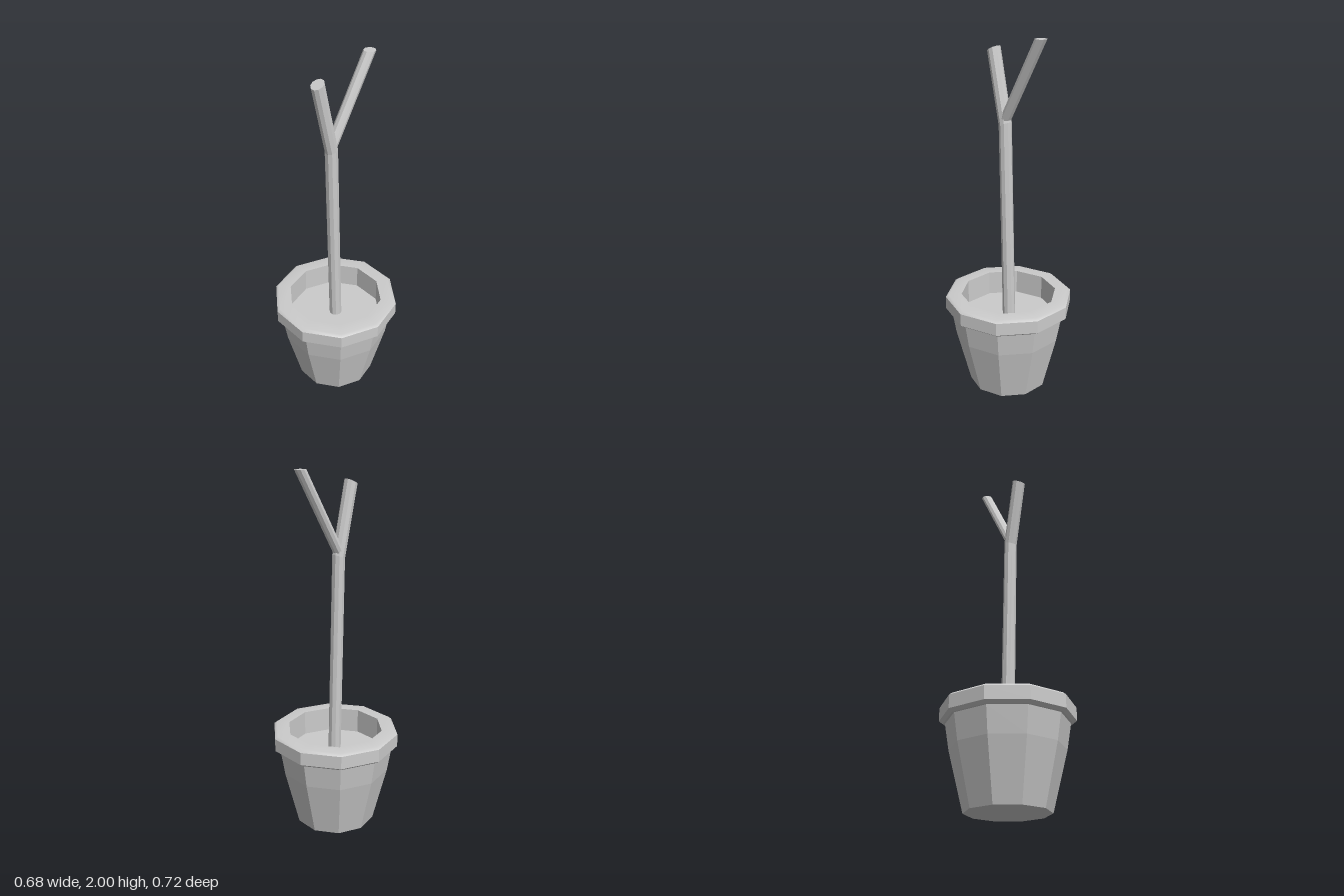
import * as THREE from 'three';

const SIDES = 10;
const flat = new THREE.MeshStandardMaterial({ color: 0xcccccc, flatShading: true });
const smooth = new THREE.MeshStandardMaterial({ color: 0xcccccc });

function addMesh(group, name, geometry, material = flat) {
  const mesh = new THREE.Mesh(geometry, material);
  mesh.name = name;
  group.add(mesh);
}

// Ten-sided turned shape from [radius, height] pairs
function turned(profile) {
  return new THREE.LatheGeometry(profile.map(([r, y]) => new THREE.Vector2(r, y)), SIDES);
}

// Capped ten-sided limb through rings of [x, y, radius, tilt], listed bottom to top
function limb(rings) {
  const last = rings.length - 1;
  const geo = new THREE.CylinderGeometry(1, 1, last, SIDES, last);
  const pos = geo.attributes.position;
  for (let i = 0; i < pos.count; i++) {
    const [x, y, r, tilt] = rings[Math.round(pos.getY(i) + last / 2)];
    const side = pos.getX(i) * r;
    pos.setXYZ(i, x + side * Math.cos(tilt), y + side * Math.sin(tilt), pos.getZ(i) * r);
  }
  geo.computeVertexNormals();
  return geo;
}

export function createModel() {
  const model = new THREE.Group();
  model.name = 'pottedSapling';

  // Pot: base, flared wall and rim band
  addMesh(model, 'potWall', turned([
    [0, 0], [0.225, 0], [0.305, 0.32], [0.328, 0.46], [0.34, 0.46], [0.36, 0.475], [0.36, 0.547],
  ]));
  // Softly shaded bevelled lip
  addMesh(model, 'potLip', turned([[0.36, 0.547], [0.343, 0.56], [0.27, 0.56]]), smooth);
  // Inner wall and soil
  addMesh(model, 'potInnerWall', turned([[0.27, 0.56], [0.27, 0.42]]));
  addMesh(model, 'soil', turned([[0.27, 0.42], [0, 0.42]]));

  // Trunk with its bent upper end, and the side branch
  addMesh(model, 'trunk', limb([
    [0.003, 0.41, 0.036, 0], [-0.026, 1.537, 0.036, 0.36], [-0.111, 1.921, 0.037, 0.47],
  ]));
  addMesh(model, 'branch', limb([[-0.025, 1.56, 0.032, 0], [0.226, 2, 0.032, 0]]));

  return model;
}
